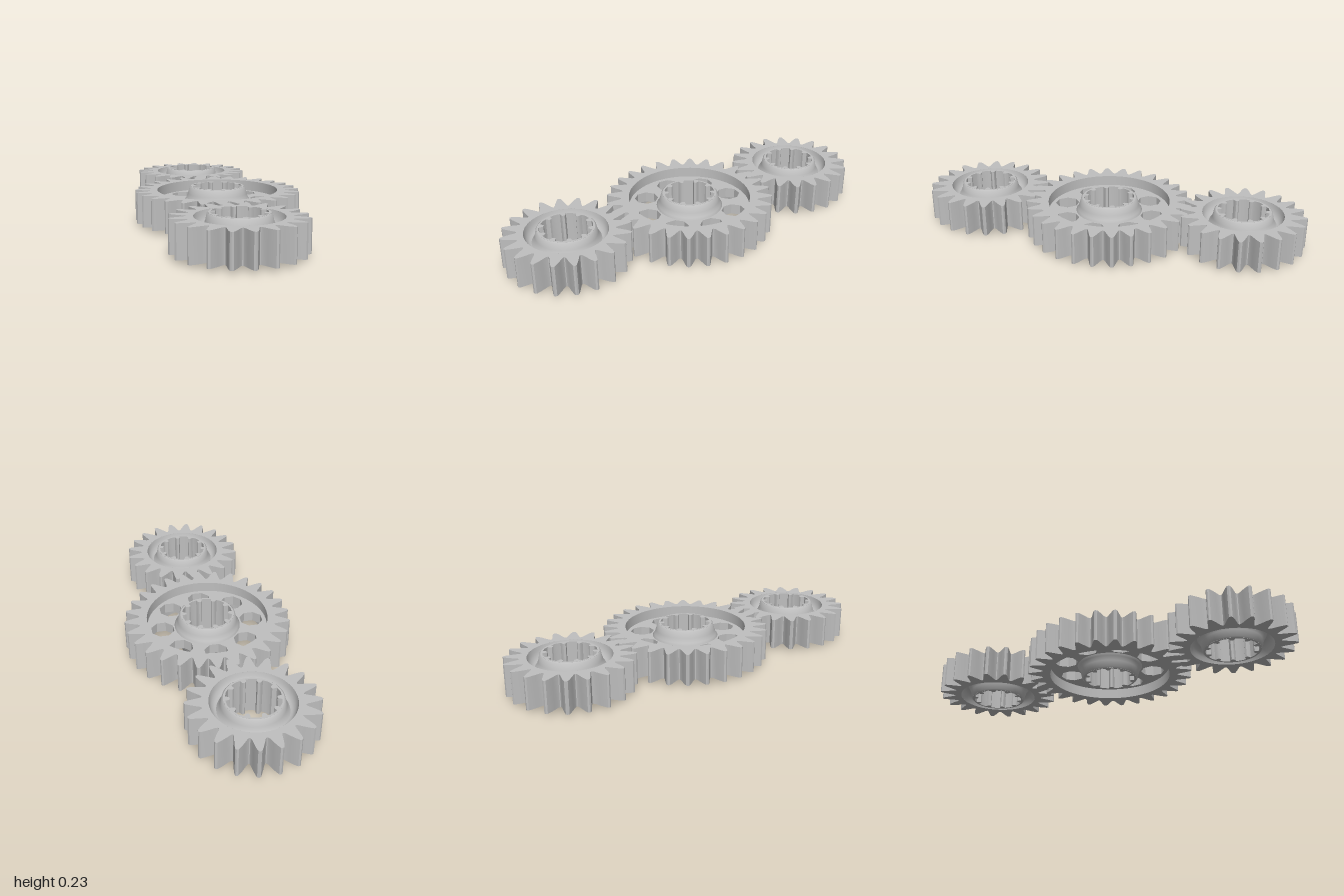
import * as THREE from 'three';
import { toCreasedNormals } from 'three/addons/utils/BufferGeometryUtils.js';

const HEIGHT = 0.235;                 // hub height
const RIM_LOW = 0.021, RIM_HIGH = 0.214;
const WEB_LOW = 0.085, WEB_HIGH = 0.15;

const steel = new THREE.MeshStandardMaterial({ color: 0xbfbfbf });
steel.name = 'grey steel';

const polar = (r, a, cx = 0, cy = 0) => new THREE.Vector2(cx + r * Math.cos(a), cy + r * Math.sin(a));

function ringPoints(r, sides, cx = 0, cy = 0) {
  return Array.from({ length: sides }, (_, i) => polar(r, (i + 0.5) / sides * Math.PI * 2, cx, cy));
}

// Repeats one tooth, given as [fraction of pitch, radius], around a circle
function toothedPoints(count, tooth, phase = 0) {
  const pts = [];
  for (let i = 0; i < count; i++)
    for (const [f, r] of tooth) pts.push(polar(r, phase + (i + f) / count * Math.PI * 2));
  return pts;
}

// Horizontal plate with holes, between two heights
function plate(name, outline, holes, low, high) {
  const shape = new THREE.Shape(outline);
  for (const h of holes) shape.holes.push(new THREE.Path(h));
  const geo = new THREE.ExtrudeGeometry(shape, { depth: high - low, bevelEnabled: false });
  geo.rotateX(-Math.PI / 2);
  geo.translate(0, low, 0);
  const mesh = new THREE.Mesh(toCreasedNormals(geo, 0.5), steel);
  mesh.name = name;
  return mesh;
}

// Turned body; the upper profile runs inward and is mirrored below
function turned(name, upper) {
  const top = upper.map(([r, y]) => new THREE.Vector2(r, y));
  const bottom = upper.map(([r, y]) => new THREE.Vector2(r, HEIGHT - y)).reverse();
  const geo = new THREE.LatheGeometry([...bottom, ...top], 64);
  const mesh = new THREE.Mesh(toCreasedNormals(geo, 0.7), steel);
  mesh.name = name;
  return mesh;
}

// Rim of pointed teeth with curved flanks
function toothedRim(count, root, tip, inner, phase) {
  const d = tip - root;
  const half = [[0.47, 0], [0.38, 0.12], [0.27, 0.42], [0.17, 0.72], [0.085, 0.95]];
  const tooth = [
    ...half.map(([f, k]) => [-f, root + d * k]),
    [0, tip],
    ...half.slice().reverse().map(([f, k]) => [f, root + d * k]),
  ];
  return plate('toothedRim', toothedPoints(count, tooth, phase), [ringPoints(inner, 64)], RIM_LOW, RIM_HIGH);
}

// Sleeve with a splined bore
function splinedSleeve(phase) {
  const spline = [[-0.32, 0.155], [0, 0.157], [0.32, 0.155], [0.36, 0.138], [0.42, 0.13], [0.58, 0.13], [0.64, 0.138]];
  return plate('splinedSleeve', ringPoints(0.167, 64), [toothedPoints(10, spline, phase)], 0, HEIGHT);
}

function smallGear(phase) {
  const gear = new THREE.Group();
  gear.add(
    toothedRim(20, 0.285, 0.38, 0.245, phase),
    turned('groovedBody', [
      [0.245, RIM_HIGH], [0.24, 0.19], [0.23, 0.167], [0.215, 0.153], [0.203, 0.15],
      [0.193, 0.162], [0.182, 0.19], [0.174, 0.228], [0.166, HEIGHT],
    ]),
    splinedSleeve(phase),
  );
  return gear;
}

function largeGear(phase) {
  const gear = new THREE.Group();
  // Lightening holes around the web
  const holes = [];
  for (let i = 0; i < 8; i++) {
    const c = polar(0.283, i * Math.PI / 4);
    holes.push(ringPoints(0.074, 8, c.x, c.y));
  }
  gear.add(
    toothedRim(28, 0.425, 0.515, 0.377, phase),
    plate('web', ringPoints(0.379, 64), [ringPoints(0.18, 64), ...holes], WEB_LOW, WEB_HIGH),
    turned('hub', [
      [0.205, WEB_HIGH], [0.195, 0.163], [0.185, 0.19], [0.175, 0.227], [0.166, HEIGHT],
    ]),
    splinedSleeve(0),
  );
  return gear;
}

export function createModel() {
  const model = new THREE.Group();
  model.name = 'gearTrain';
  const deg = Math.PI / 180;
  const add = (gear, name, x, z) => {
    gear.name = name;
    gear.position.set(x, 0, z);
    model.add(gear);
  };
  add(largeGear(2.4 * deg), 'centreGear', 0.025, 0.027);
  add(smallGear(0), 'backLeftGear', 0.543, -0.62);
  add(smallGear(-5.5 * deg), 'frontRightGear', -0.545, 0.62);
  return model;
}
